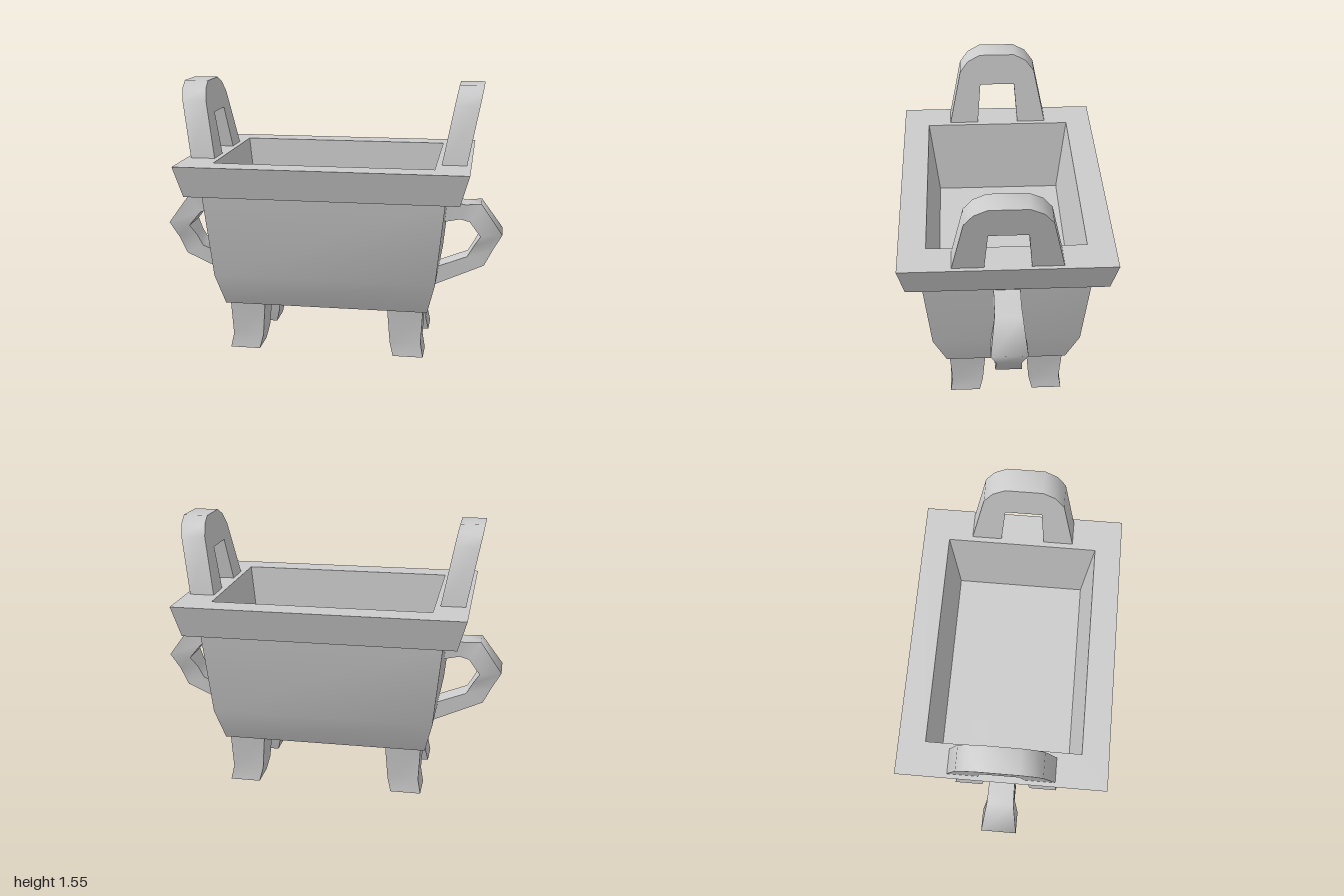
import * as THREE from 'three';
import { toCreasedNormals } from 'three/addons/utils/BufferGeometryUtils.js';

const material = new THREE.MeshStandardMaterial({ color: 0xcccccc, side: THREE.DoubleSide });

function makeMesh(name, geometry, crease) {
  const mesh = new THREE.Mesh(toCreasedNormals(geometry, crease), material);
  mesh.name = name;
  return mesh;
}

// Skin through four-cornered rings, with optional end caps
function loft(rings, capStart, capEnd) {
  const index = [];
  for (let i = 0; i < rings.length - 1; i++) {
    for (let j = 0; j < 4; j++) {
      const a = i * 4 + j, b = i * 4 + (j + 1) % 4;
      index.push(a, b, b + 4, a, b + 4, a + 4);
    }
  }
  const e = (rings.length - 1) * 4;
  if (capStart) index.push(0, 2, 1, 0, 3, 2);
  if (capEnd) index.push(e, e + 1, e + 2, e, e + 2, e + 3);
  const geometry = new THREE.BufferGeometry();
  geometry.setAttribute('position', new THREE.Float32BufferAttribute(rings.flat(2), 3));
  geometry.setIndex(index);
  return geometry;
}

// Horizontal rectangle, counter-clockwise from above
const rect = (x0, x1, z0, z1, y) => [[x1, y, z1], [x1, y, z0], [x0, y, z0], [x0, y, z1]];
const centred = ([x, z, y]) => rect(-x, x, -z, z, y);

// Arched ear standing on the rim and leaning outwards
function earGeometry() {
  const half = [[0.297, 1.12], [0.227, 1.453], [0.177, 1.518], [0.105, 1.555]];
  const inner = [[0.104, 1.372], [0.125, 1.12]];
  const flip = (pts) => pts.map(([u, y]) => [-u, y]).reverse();
  const outline = [...half, ...flip(half), ...flip(inner), ...inner];
  const shape = new THREE.Shape(outline.map(([u, y]) => new THREE.Vector2(u, y)));
  const geometry = new THREE.ExtrudeGeometry(shape, { depth: 0.14, bevelEnabled: false });
  geometry.rotateY(Math.PI / 2);
  const p = geometry.attributes.position;
  for (let i = 0; i < p.count; i++) {
    p.setX(i, p.getX(i) + 0.65 + (p.getY(i) - 1.13) * 0.19);
  }
  return geometry;
}

// Looped side handle: outer x, y, inner x, y, half width
function handleGeometry() {
  const sections = [
    [0.66, 0.88, 0.66, 0.75, 0.073],
    [0.785, 0.857, 0.755, 0.77, 0.073],
    [0.875, 0.865, 0.81, 0.755, 0.075],
    [1.0, 0.69, 0.875, 0.675, 0.1],
    [0.95, 0.593, 0.838, 0.61, 0.069],
    [0.9, 0.495, 0.8, 0.545, 0.073],
    [0.6, 0.36, 0.62, 0.475, 0.073],
  ];
  return loft(sections.map(([ox, oy, ix, iy, w]) =>
    [[ox, oy, w], [ix, iy, w], [ix, iy, -w], [ox, oy, -w]]), true, true);
}

// Tapered leg with a foot kicked outwards: inner x, outer x, inner z, outer z, y
function legGeometry(sx, sz) {
  const sections = [
    [0.395, 0.57, 0.156, 0.33, 0],
    [0.375, 0.554, 0.136, 0.317, 0.08],
    [0.36, 0.565, 0.12, 0.33, 0.28],
    [0.35, 0.575, 0.115, 0.34, 0.69],
  ];
  const rings = sections.map(([x0, x1, z0, z1, y]) => rect(
    Math.min(sx * x0, sx * x1), Math.max(sx * x0, sx * x1),
    Math.min(sz * z0, sz * z1), Math.max(sz * z0, sz * z1), y));
  return loft(rings, true, true);
}

export function createModel() {
  const group = new THREE.Group();
  group.name = 'cauldron';

  // Outer walls, open underneath
  const body = [[0.59, 0.345, 0.28], [0.635, 0.42, 0.467], [0.685, 0.465, 0.955]];
  group.add(makeMesh('body', loft(body.map(centred)), 0.7));

  // Flared rim
  const rim = [[0.67, 0.45, 0.955], [0.765, 0.545, 0.955], [0.815, 0.58, 1.13], [0.62, 0.43, 1.13]];
  group.add(makeMesh('rim', loft(rim.map(centred)), 0.5));

  // Sunken basin with raised floor
  const basin = [[0.62, 0.43, 1.13], [0.56, 0.375, 0.69]];
  group.add(makeMesh('basin', loft(basin.map(centred), false, true), 0.5));

  for (const side of [1, -1]) {
    const prefix = side > 0 ? 'left' : 'right';
    const ear = makeMesh(prefix + 'Ear', earGeometry(), 0.65);
    const handle = makeMesh(prefix + 'Handle', handleGeometry(), 1.15);
    for (const part of [ear, handle]) {
      if (side < 0) part.rotation.y = Math.PI;
      group.add(part);
    }
    for (const end of [1, -1]) {
      const name = prefix + (end > 0 ? 'Front' : 'Back') + 'Leg';
      group.add(makeMesh(name, legGeometry(side, end), 0.6));
    }
  }
  return group;
}
